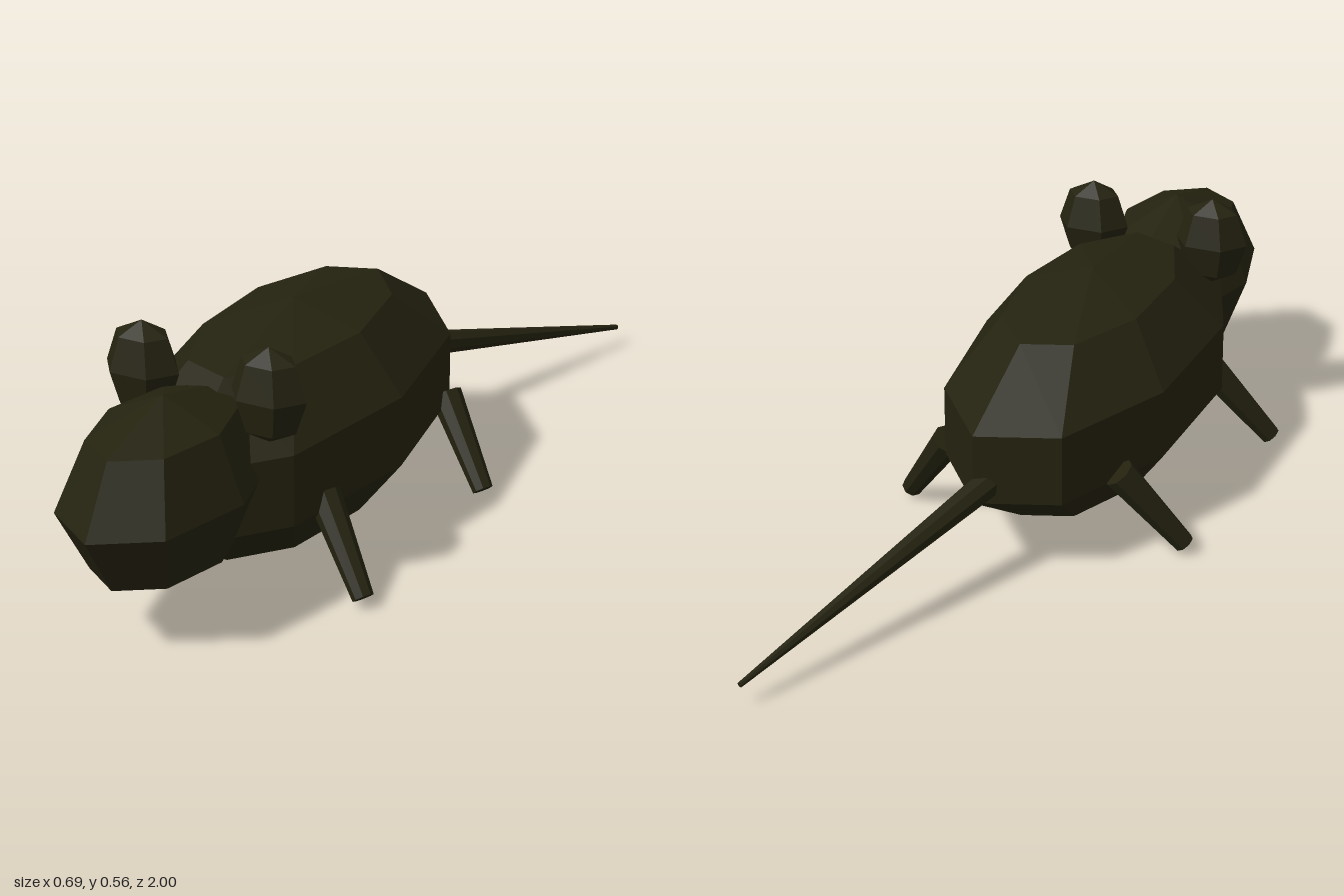
import * as THREE from 'three';

const fur = new THREE.MeshStandardMaterial({ color: 0x24220f, flatShading: true });
fur.name = 'darkFur';

// Coarse ellipsoid with poles on the y axis
function blob(name, [x, y, z], [rx, ry, rz], sides, rings, turn = 0) {
  const geo = new THREE.SphereGeometry(1, sides, rings);
  geo.rotateY(turn);
  geo.scale(rx, ry, rz);
  const mesh = new THREE.Mesh(geo, fur);
  mesh.name = name;
  mesh.position.set(x, y, z);
  return mesh;
}

// Tapered limb running from one point to another
function limb(name, from, to, r0, r1, sides) {
  const a = new THREE.Vector3(...from), b = new THREE.Vector3(...to);
  const dir = b.clone().sub(a);
  const mesh = new THREE.Mesh(new THREE.CylinderGeometry(r1, r0, dir.length(), sides), fur);
  mesh.name = name;
  mesh.position.copy(a).add(b).multiplyScalar(0.5);
  mesh.quaternion.setFromUnitVectors(new THREE.Vector3(0, 1, 0), dir.normalize());
  return mesh;
}

export function createModel() {
  const rat = new THREE.Group();
  rat.name = 'rat';

  // Nine-sided body, with a corner on the left flank
  rat.add(blob('body', [0, 0.256, 0.19], [0.273, 0.255, 0.577], 9, 5, Math.PI));
  rat.add(blob('head', [0, 0.295, 0.71], [0.18, 0.197, 0.29], 8, 4));

  for (const [side, s] of [['left', 1], ['right', -1]]) {
    rat.add(blob(side + 'Ear', [s * 0.147, 0.46, 0.55], [0.086, 0.103, 0.066], 6, 4));

    // Legs splay outwards and forwards
    for (const [end, z] of [['Front', 0], ['Back', -0.563]]) {
      rat.add(limb(side + end + 'Leg', [s * 0.2, 0.2, 0.422 + z], [s * 0.328, 0.022, 0.49 + z], 0.036, 0.023, 8));
    }
  }

  // Straight tail, swung to the left and drooping
  rat.add(limb('tail', [0.018, 0.219, -0.3], [0.251, 0.05, -0.998], 0.032, 0.006, 8));

  return rat;
}
